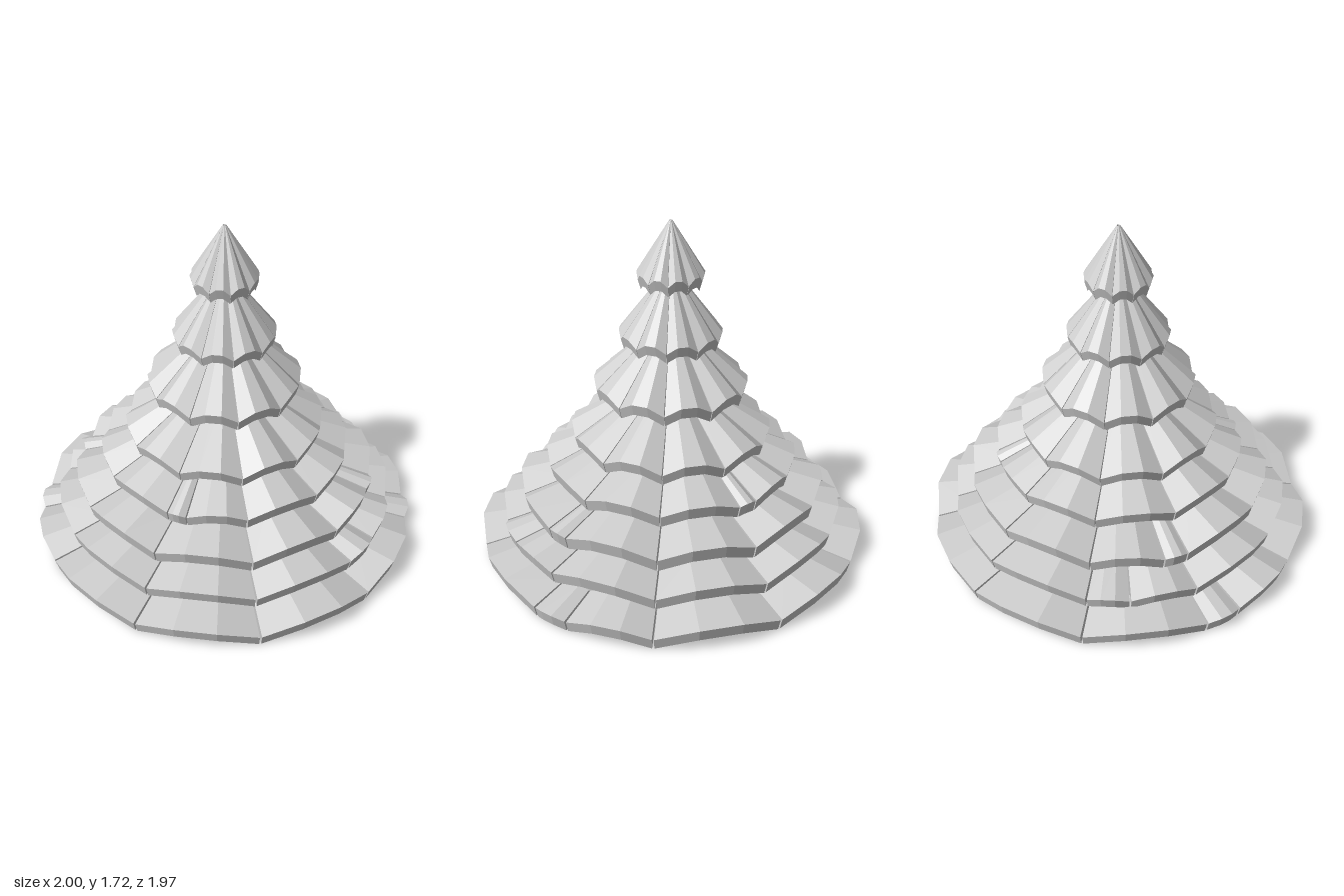
import * as THREE from 'three';

const DEG = Math.PI / 180;
const material = new THREE.MeshStandardMaterial({ color: 0xcccccc, flatShading: true });

// One bough: a sloping slab, creased into three facets and arched in the middle
function boughGeometry(t, from, to) {
  const span = to - from;
  const arch = t.arch * Math.min(1, span / 30);
  const lip = t.yTop - t.yLow;
  const profile = [
    [t.r, t.yTop],
    [t.r - 0.015, t.yLow],
    [Math.max(t.rIn - 0.02, 0.004), t.yIn - lip],
    [t.rIn, t.yIn],
  ];
  const rows = [0, 1, 2, 3].map((k) => {
    const a = (from + (span * k) / 3) * DEG;
    const mid = k === 1 || k === 2;
    return profile.map(([r, y]) => {
      const s = r * (mid ? 1.005 : 0.985);
      return [s * Math.cos(a), y + (mid ? arch * r / t.r : 0), s * Math.sin(a)];
    });
  });
  const pos = [];
  const quad = (a, b, c, d) => pos.push(...a, ...b, ...c, ...a, ...c, ...d);
  for (let k = 0; k < 3; k++) {
    for (let i = 0; i < 4; i++) {
      const n = (i + 1) % 4;
      quad(rows[k][i], rows[k + 1][i], rows[k + 1][n], rows[k][n]);
    }
  }
  quad(...rows[0]);
  quad(...[...rows[3]].reverse());
  const g = new THREE.BufferGeometry();
  g.setAttribute('position', new THREE.Float32BufferAttribute(pos, 3));
  g.computeVertexNormals();
  return g;
}

// Tiers from bottom to tip; split is an extra cut, repeated half a turn on
const tiers = [
  { r: 1.0, yLow: 0.01, yTop: 0.07, rIn: 0.79, yIn: 0.115, arch: 0.06, split: -29 },
  { r: 0.88, yLow: 0.14, yTop: 0.2, rIn: 0.68, yIn: 0.25, arch: 0.06, split: 4 },
  { r: 0.78, yLow: 0.28, yTop: 0.345, rIn: 0.54, yIn: 0.42, arch: 0.06, split: -9 },
  { r: 0.64, yLow: 0.43, yTop: 0.49, rIn: 0.36, yIn: 0.62, arch: 0.05, split: -99 },
  { r: 0.505, yLow: 0.58, yTop: 0.635, rIn: 0.17, yIn: 0.86, arch: 0.05 },
  { r: 0.385, yLow: 0.83, yTop: 0.885, rIn: 0.12, yIn: 1.15, arch: 0.045 },
  { r: 0.255, yLow: 1.1, yTop: 1.15, rIn: 0.06, yIn: 1.43, arch: 0.035 },
  { r: 0.165, yLow: 1.4, yTop: 1.45, rIn: 0.008, yIn: 1.73, arch: 0.03 },
];

export function createModel() {
  const model = new THREE.Group();
  model.name = 'tieredTree';
  tiers.forEach((t, index) => {
    const tier = new THREE.Group();
    tier.name = `tier${index + 1}`;
    // Cuts over half a turn; the other half is the same, turned round
    const cuts = [0, 1, 2, 3, 4, 5].map((k) => -126 + 36 * k);
    if (t.split !== undefined) cuts.push(t.split);
    cuts.sort((a, b) => a - b);
    const gap = 0.3;
    for (const turn of [0, 180]) {
      for (let k = 0; k < cuts.length - 1; k++) {
        const bough = new THREE.Mesh(
          boughGeometry(t, cuts[k] + turn + gap, cuts[k + 1] + turn - gap), material);
        bough.name = 'bough';
        tier.add(bough);
      }
    }
    model.add(tier);
  });
  return model;
}
